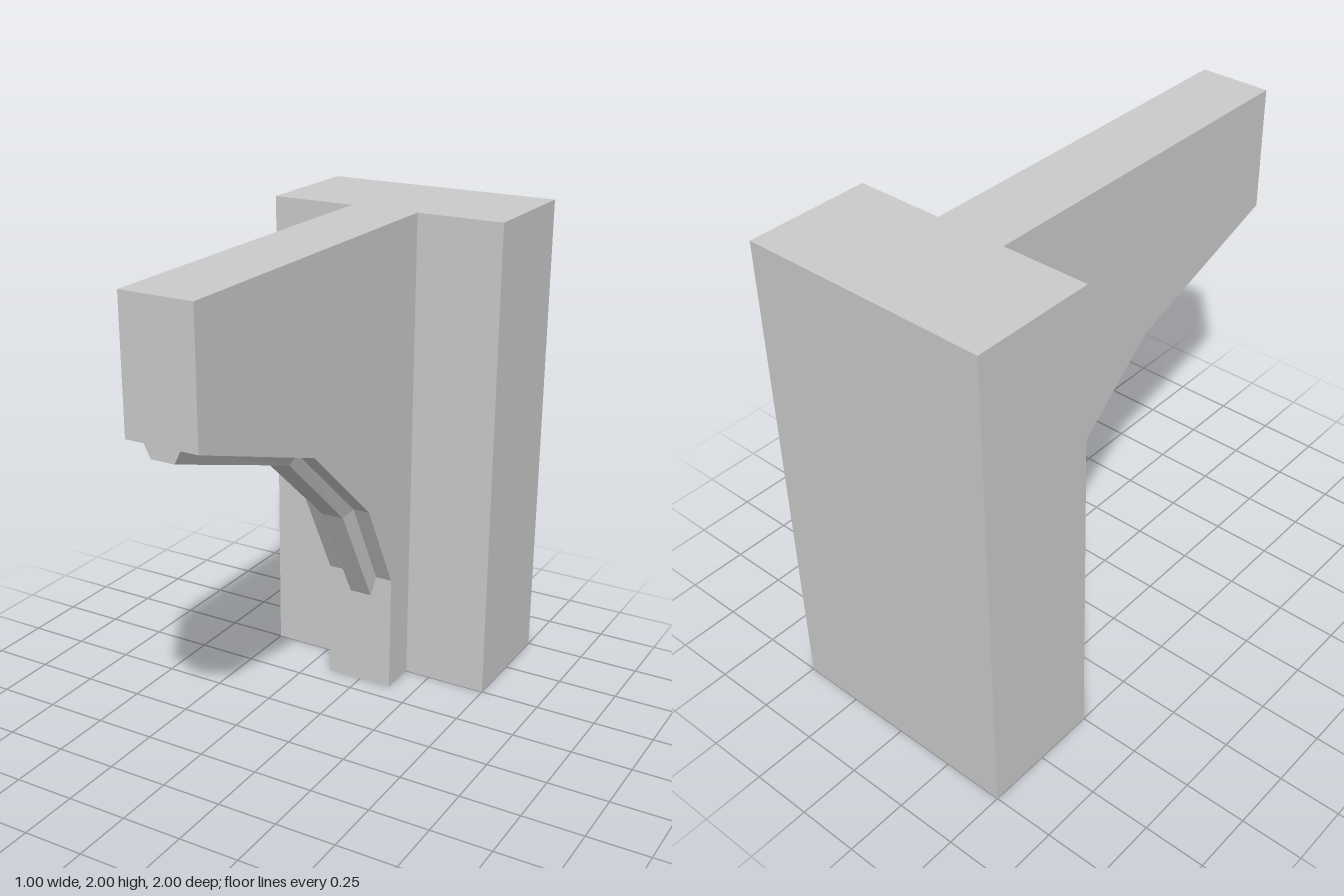
import * as THREE from 'three';

const material = new THREE.MeshStandardMaterial({ color: 0xcccccc, flatShading: true });

// Underside of the bracket and crest of its rib, as [z, y] from front to back
const UNDERSIDE = [[1, 1.5], [0.28, 1.25], [-0.14, 0.88], [-0.34, 0.5]];
const CREST = [[1, 1.45], [0.3, 1.21], [-0.1, 0.85], [-0.34, 0.41]];

function addMesh(group, name, geometry) {
  const mesh = new THREE.Mesh(geometry, material);
  mesh.name = name;
  group.add(mesh);
}

// Side profile of the bracket, extruded across x
function bracketGeometry(left, right) {
  const outline = [[-0.5, 0], [-0.5, 2], [1, 2], ...UNDERSIDE, [-0.34, 0]];
  const shape = new THREE.Shape(outline.map(([z, y]) => new THREE.Vector2(z, y)));
  const geometry = new THREE.ExtrudeGeometry(shape, { depth: right - left, bevelEnabled: false });
  return geometry.rotateY(-Math.PI / 2).translate(right, 0, 0);
}

// Tapered rib: a trapezoid section swept along the underside
function ribGeometry() {
  const positions = [];
  const index = [];
  UNDERSIDE.forEach(([z, y], i) => {
    const [cz, cy] = CREST[i];
    positions.push(-0.075, y, z, -0.05, cy, cz, 0.045, cy, cz, 0.07, y, z);
  });
  for (let i = 0; i < UNDERSIDE.length - 1; i++) {
    for (let j = 0; j < 3; j++) {
      const a = i * 4 + j;
      index.push(a, a + 4, a + 1, a + 1, a + 4, a + 5);
    }
  }
  index.push(0, 1, 2, 0, 2, 3); // front end
  const e = (UNDERSIDE.length - 1) * 4;
  index.push(e, e + 2, e + 1, e, e + 3, e + 2); // lower end
  const geometry = new THREE.BufferGeometry();
  geometry.setAttribute('position', new THREE.Float32BufferAttribute(positions, 3));
  geometry.setIndex(index);
  const flat = geometry.toNonIndexed();
  flat.computeVertexNormals();
  return flat;
}

export function createModel() {
  const group = new THREE.Group();
  group.name = 'wallBracket';

  // Upright block at the back
  addMesh(group, 'pillar', new THREE.BoxGeometry(1, 2, 0.5).translate(0, 1, -0.75));

  // Projecting arm with a faceted arch below
  addMesh(group, 'bracket', bracketGeometry(-0.15, 0.14));

  // Raised moulding along the arch
  addMesh(group, 'archRib', ribGeometry());

  return group;
}
